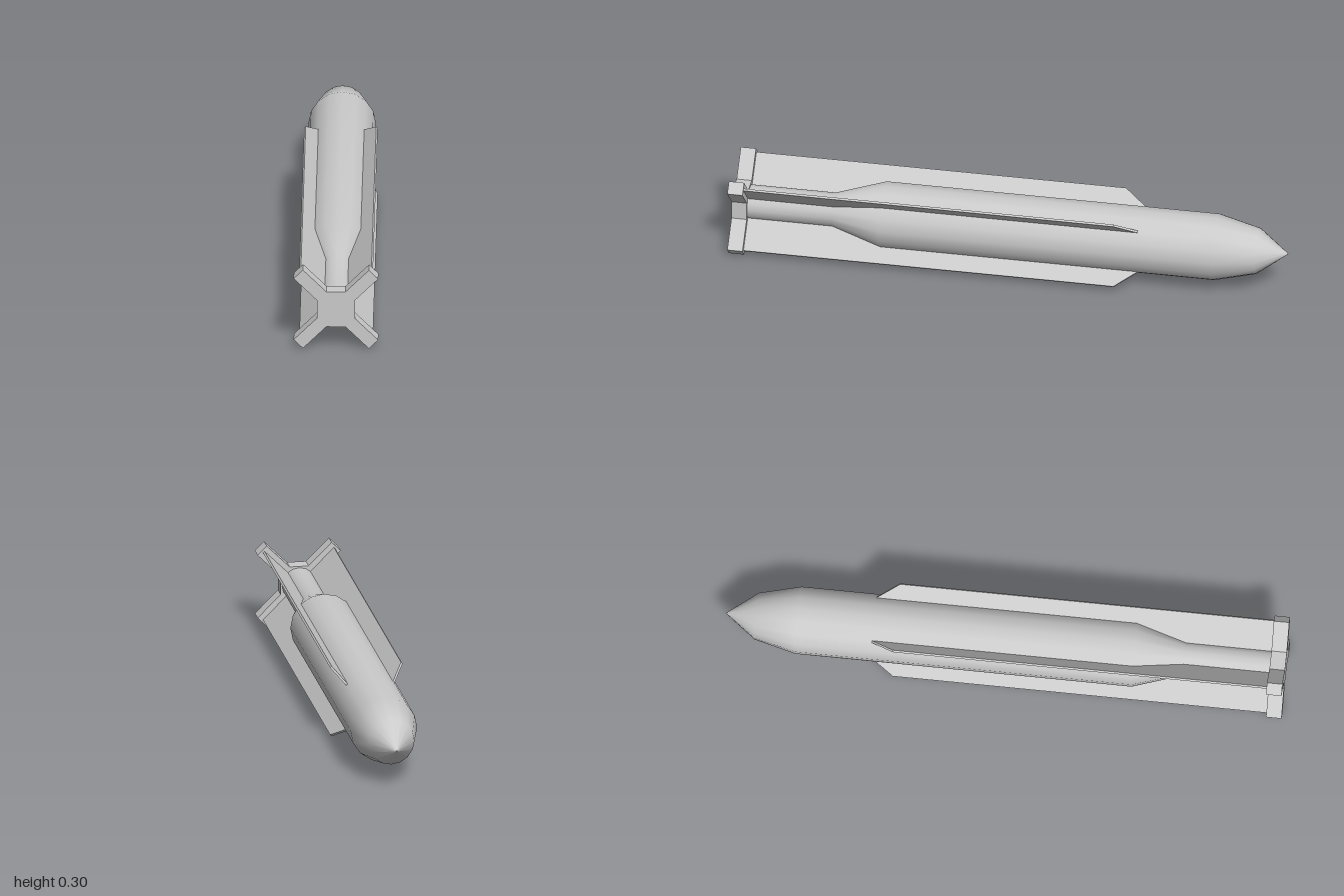
import * as THREE from 'three';

export function createModel() {
  const model = new THREE.Group();
  model.name = 'finnedMissile';
  const material = new THREE.MeshStandardMaterial({ color: 0xcccccc });

  // Everything is built around the z axis, then lifted to stand on y = 0
  const axisGroup = new THREE.Group();
  axisGroup.name = 'airframe';
  axisGroup.position.y = 0.15;
  model.add(axisGroup);

  const addPart = (name, geometry, parent = axisGroup) => {
    const mesh = new THREE.Mesh(geometry, material);
    mesh.name = name;
    parent.add(mesh);
    return mesh;
  };

  // Body: pointed nose, straight barrel, tapered neck (radius, z)
  const profile = [
    [0, -1], [0.083, -0.89], [0.12, -0.74], [0.12, 0.46], [0.062, 0.64], [0.062, 0.96],
  ].map(([r, z]) => new THREE.Vector2(r, z));
  addPart('body', new THREE.LatheGeometry(profile, 16).rotateX(Math.PI / 2));

  // Four long thin fins on the diagonals, outline in (radius, z)
  const finShape = new THREE.Shape([
    [0.03, 0.96], [0.03, -0.3], [0.1, -0.495], [0.181, -0.39], [0.181, 0.96],
  ].map(([r, z]) => new THREE.Vector2(r, z)));
  const thickness = 0.008;
  const finGeometry = new THREE.ExtrudeGeometry(finShape, { depth: thickness, bevelEnabled: false })
    .translate(0, 0, -thickness / 2)
    .rotateX(Math.PI / 2);
  const fins = new THREE.Group();
  fins.name = 'fins';
  axisGroup.add(fins);
  for (let i = 0; i < 4; i++) {
    addPart('fin', finGeometry, fins).rotation.z = Math.PI / 4 + i * Math.PI / 2;
  }

  // Tail plate: X-shaped slab with straight webs between its arms
  const arm = [[0.0714, -0.0233], [0.189, -0.0233], [0.189, 0.0233], [0.0714, 0.0233]];
  const outline = [];
  for (let i = 0; i < 4; i++) {
    const angle = Math.PI / 4 + i * Math.PI / 2;
    for (const [x, y] of arm) {
      outline.push(new THREE.Vector2(x, y).rotateAround(new THREE.Vector2(), angle));
    }
  }
  addPart('tailPlate', new THREE.ExtrudeGeometry(new THREE.Shape(outline), {
    depth: 0.055, bevelEnabled: false,
  }).translate(0, 0, 0.945));

  return model;
}
